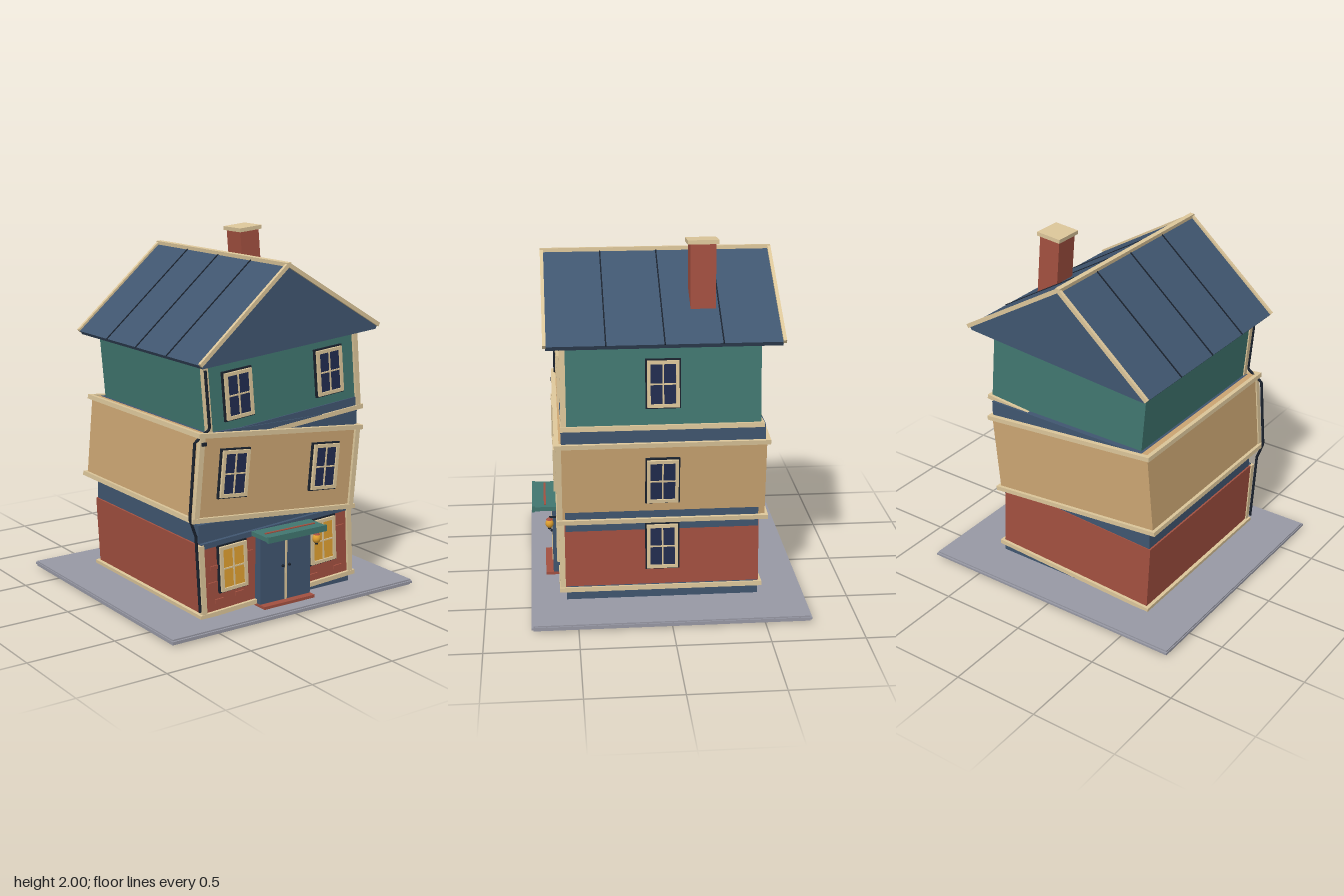
import * as THREE from 'three';

const mat = (name, color) => {
  const m = new THREE.MeshStandardMaterial({ color });
  m.name = name;
  return m;
};

export function createModel() {
  const stone = mat('grey stone', 0x9899a5), brick = mat('brick red', 0xa35040), tan = mat('tan plaster', 0xcca673),
    teal = mat('teal siding', 0x417770), slate = mat('slate blue', 0x405670), cream = mat('cream trim', 0xdcc69a),
    glass = mat('navy glass', 0x222d50), gold = mat('lit gold', 0xe0a030), dark = mat('dark iron', 0x1a222e);

  const house = new THREE.Group();
  house.name = 'crookedHouse';

  const add = (parent, name, geo, material, x = 0, y = 0, z = 0) => {
    const m = new THREE.Mesh(geo, material);
    m.name = name;
    m.position.set(x, y, z);
    parent.add(m);
    return m;
  };
  const box = (parent, name, material, w, h, d, x, y, z) =>
    add(parent, name, new THREE.BoxGeometry(w, h, d), material, x, y, z);
  const group = (parent, name, x, y, z, degrees = 0) => {
    const g = new THREE.Group();
    g.name = name;
    g.position.set(x, y, z);
    g.rotation.z = THREE.MathUtils.degToRad(degrees);
    parent.add(g);
    return g;
  };

  // Window facing +z, with its back on z = 0
  const addWindow = (parent, name, pane, x, y, z, turn = 0) => {
    const w = 0.17, h = 0.25, t = 0.018;
    const g = group(parent, name, x, y, z);
    g.rotation.y = turn;
    box(g, 'windowSurround', dark, w + 0.016, h + 0.016, 0.016, 0, 0, 0.006);
    box(g, 'windowPane', pane, w - t, h - t, 0.006, 0, 0, 0.016);
    for (const s of [-1, 1]) {
      box(g, 'frameSide', cream, t, h, 0.026, s * (w - t) / 2, 0, 0.015);
      box(g, 'frameRail', cream, w - 2 * t, t, 0.026, 0, s * (h - t) / 2, 0.015);
    }
    box(g, 'mullion', cream, 0.008, h - 2 * t, 0.012, 0, 0, 0.018);
    box(g, 'crossbar', cream, w - 2 * t, 0.008, 0.012, 0, 0, 0.018);
  };

  // One tilted storey: walls, front corner posts, bottom band and windows
  const addStorey = (name, wall, o) => {
    const g = group(house, name, o.x, o.y, 0, o.tilt);
    const d = o.front - o.back, zc = (o.front + o.back) / 2;
    box(g, 'walls', wall, o.w, o.h, d, 0, 0, zc);
    for (const s of [-1, 1])
      box(g, 'cornerPost', cream, 0.03, o.h, 0.03, s * (o.w / 2 - 0.008), 0, o.front);
    box(g, 'bottomBand', cream, o.w + 0.04, 0.025, d + 0.035, 0, -o.h / 2 + 0.006, zc);
    for (const s of [-1, 1]) addWindow(g, 'frontWindow', o.pane, s * 0.3, o.winY, o.front);
    addWindow(g, 'sideWindow', glass, o.w / 2, o.sideY, 0.03, Math.PI / 2);
    return g;
  };

  // Ground slab and foundation
  box(house, 'groundSlab', stone, 1.6, 0.03, 1.48, 0, 0.025, 0);
  box(house, 'slabRim', stone, 1.61, 0.012, 1.5, 0, 0.026, 0);
  box(house, 'foundation', slate, 0.99, 0.08, 1.05, 0, 0.075, 0.03);

  // Ground floor
  const first = addStorey('groundFloor', brick, {
    x: -0.02, y: 0.268, w: 1.0, h: 0.40, tilt: 3, front: 0.575, back: -0.5, pane: gold, winY: 0.045, sideY: 0.045 });
  box(first, 'topFascia', slate, 0.98, 0.03, 0.02, 0, 0.19, 0.572);
  for (const [x, y] of [[-0.39, -0.13], [-0.26, -0.12], [-0.41, 0.06], [-0.19, 0.09], [0.24, -0.15], [0.41, -0.14], [0.43, 0.09], [-0.43, -0.03]])
    box(first, 'raisedBrick', brick, 0.055, 0.022, 0.012, x, y, 0.578);

  // Level spacers between the tilted storeys
  box(house, 'lowerSpacer', slate, 1.0, 0.11, 1.05, -0.02, 0.49, 0.03);
  box(house, 'upperSpacer', slate, 1.02, 0.1, 1.09, 0.01, 0.985, 0.025);

  // Middle floor with a second band on top
  const second = addStorey('middleFloor', tan, {
    x: -0.025, y: 0.763, w: 1.045, h: 0.46, tilt: -5.2, front: 0.585, back: -0.53, pane: glass, winY: 0.017, sideY: 0.012 });
  for (const s of [-1, 1]) {
    box(second, 'topBandSide', cream, 0.025, 0.025, 1.155, s * 0.53, 0.225, 0.03);
    box(second, 'topBandEnd', cream, 1.085, 0.025, 0.025, 0, 0.225, 0.03 + s * 0.565);
  }

  // Upper floor
  const third = addStorey('upperFloor', teal, {
    x: 0.025, y: 1.215, w: 1.0, h: 0.44, tilt: 5, front: 0.555, back: -0.49, pane: glass, winY: 0.03, sideY: 0.02 });
  box(third, 'frontSkirt', slate, 0.97, 0.055, 0.02, 0, -0.182, 0.553);

  // Solid gable roof
  const roof = group(house, 'roof', 0.015, 1.46, 0, 4.9);
  const gable = new THREE.Shape([[-0.565, -0.022], [0.565, -0.022], [0.582, 0], [0, 0.42], [-0.582, 0]]
    .map(([x, y]) => new THREE.Vector2(x, y)));
  add(roof, 'roofBody', new THREE.ExtrudeGeometry(gable, { depth: 1.23, bevelEnabled: false }), slate, 0, 0, -0.59);
  const slope = Math.atan2(0.42, 0.582), run = Math.hypot(0.42, 0.582);
  for (const s of [-1, 1]) {
    const strip = (name, material, h, d, z) => {
      const m = box(roof, name, material, run, h, d, s * 0.291, 0.21, z);
      m.rotation.z = -s * slope;
    };
    for (const z of [0.645, -0.597]) strip('rakeTrim', cream, 0.022, 0.018, z);
    for (const z of [0.33, 0.025, -0.28]) strip('roofSeam', dark, 0.008, 0.007, z);
  }
  box(roof, 'ridgeCap', cream, 0.026, 0.022, 1.26, 0, 0.42, 0.025);

  // Chimney
  const chimney = group(house, 'chimney', 0.286, 1.985, -0.195, 5);
  box(chimney, 'chimneyStack', brick, 0.127, 0.38, 0.135, 0, -0.19, 0);
  box(chimney, 'chimneyCap', cream, 0.148, 0.022, 0.165, 0, -0.003, 0);

  // Entrance: step, double doors, canopy
  const entrance = group(house, 'entrance', 0, 0, 0);
  box(entrance, 'doorStep', brick, 0.34, 0.056, 0.1, 0, 0.028, 0.615);
  for (const s of [-1, 1]) {
    box(entrance, 'doorLeaf', slate, 0.165, 0.4, 0.06, s * 0.0855, 0.255, 0.593);
    add(entrance, 'doorKnob', new THREE.SphereGeometry(0.008, 10, 8), dark, s * 0.022, 0.25, 0.628);
  }
  box(entrance, 'doorStrip', cream, 0.012, 0.39, 0.06, 0, 0.25, 0.598);
  box(entrance, 'canopy', teal, 0.39, 0.024, 0.16, -0.004, 0.452, 0.652);
  box(entrance, 'canopyLip', teal, 0.39, 0.034, 0.016, -0.004, 0.452, 0.727);
  box(entrance, 'canopyInlay', brick, 0.33, 0.006, 0.012, -0.004, 0.466, 0.663);

  // Lantern beside the door
  const lantern = group(house, 'lantern', 0.196, 0.367, 0.64);
  add(lantern, 'lanternGlow', new THREE.SphereGeometry(0.023, 14, 10), gold).scale.y = 1.15;
  add(lantern, 'lanternCap', new THREE.ConeGeometry(0.02, 0.018, 12), brick, 0, 0.032, 0);
  add(lantern, 'lanternBase', new THREE.CylinderGeometry(0.01, 0.008, 0.01, 12), dark, 0, -0.028, 0);
  box(lantern, 'lanternArm', dark, 0.008, 0.008, 0.07, 0, 0.038, -0.033);

  // Downpipe following the crooked front left corner of the facade
  const path = new THREE.CurvePath();
  const points = [[-0.495, 1.37], [-0.468, 1.06], [-0.56, 1.0], [-0.592, 0.6], [-0.555, 0.5], [-0.53, 0.08]]
    .map(([x, y]) => new THREE.Vector3(x, y, 0.585));
  for (let i = 1; i < points.length; i++) path.add(new THREE.LineCurve3(points[i - 1], points[i]));
  add(house, 'downpipe', new THREE.TubeGeometry(path, 80, 0.008, 8), dark);
  box(house, 'pipeBracket', dark, 0.025, 0.018, 0.02, -0.515, 0.99, 0.6);

  return house;
}
